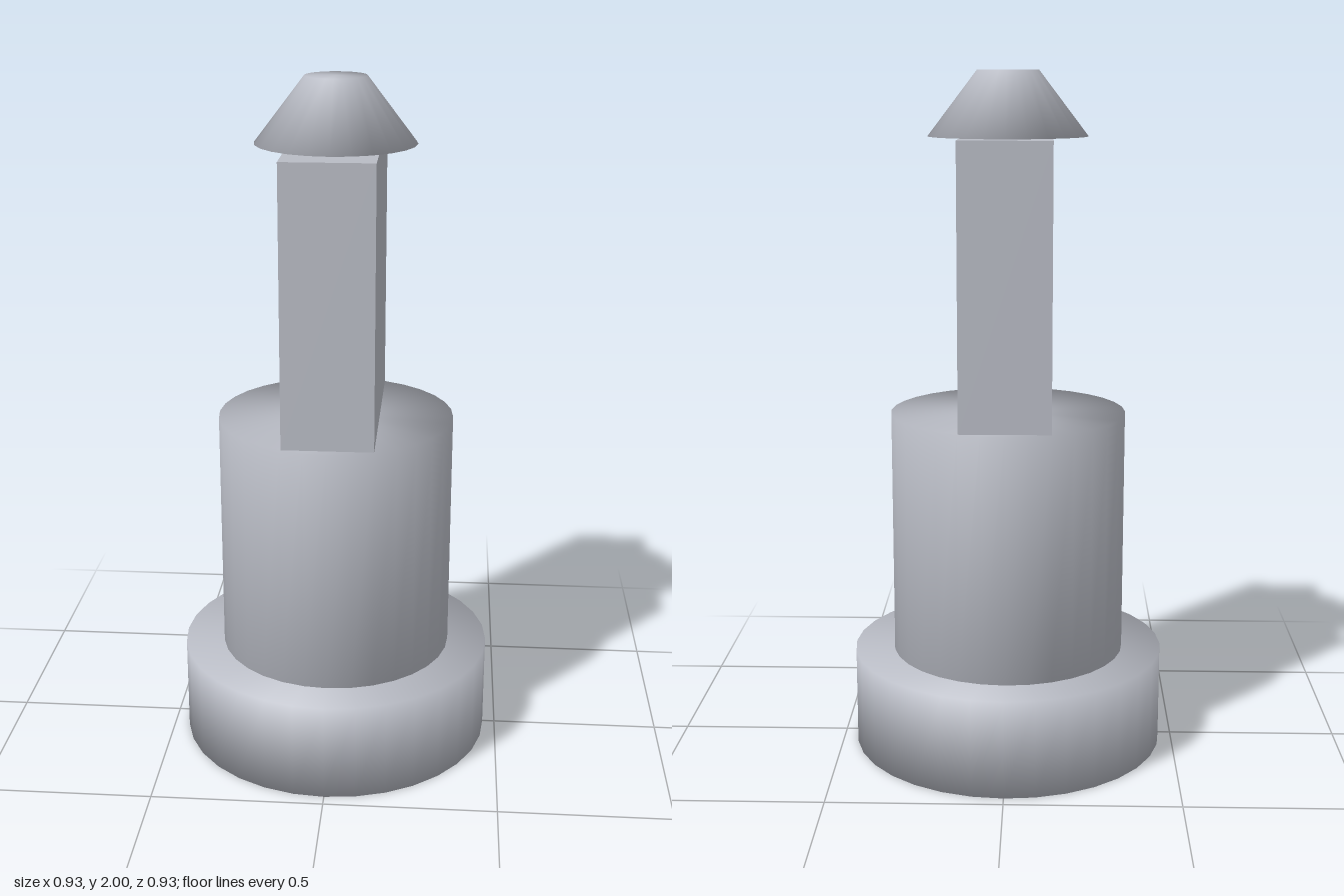
import * as THREE from 'three';
import { mergeVertices } from 'three/addons/utils/BufferGeometryUtils.js';

const grey = new THREE.MeshStandardMaterial({ color: 0xb9bcc5 });
grey.name = 'light grey';

// Round section whose normals run smoothly over the rims
function roundPart(name, rTop, rBottom, y0, y1, sides) {
  let geo = new THREE.CylinderGeometry(rTop, rBottom, y1 - y0, sides);
  geo.deleteAttribute('normal');
  geo.deleteAttribute('uv');
  geo = mergeVertices(geo, 1e-4);
  geo.clearGroups();
  geo.computeVertexNormals();
  const mesh = new THREE.Mesh(geo, grey);
  mesh.name = name;
  mesh.position.y = (y0 + y1) / 2;
  return mesh;
}

export function createModel() {
  const model = new THREE.Group();
  model.name = 'post';

  // Stepped round foot and body
  model.add(roundPart('base', 0.463, 0.463, 0, 0.29, 32));
  model.add(roundPart('body', 0.346, 0.346, 0.29, 1.015, 32));

  // Flat upright blade
  const blade = new THREE.Mesh(new THREE.BoxGeometry(0.26, 0.8, 0.636), grey);
  blade.name = 'blade';
  blade.position.y = 1.415;
  model.add(blade);

  // Truncated cone on top
  model.add(roundPart('cap', 0.088, 0.23, 1.815, 2, 24));

  return model;
}
